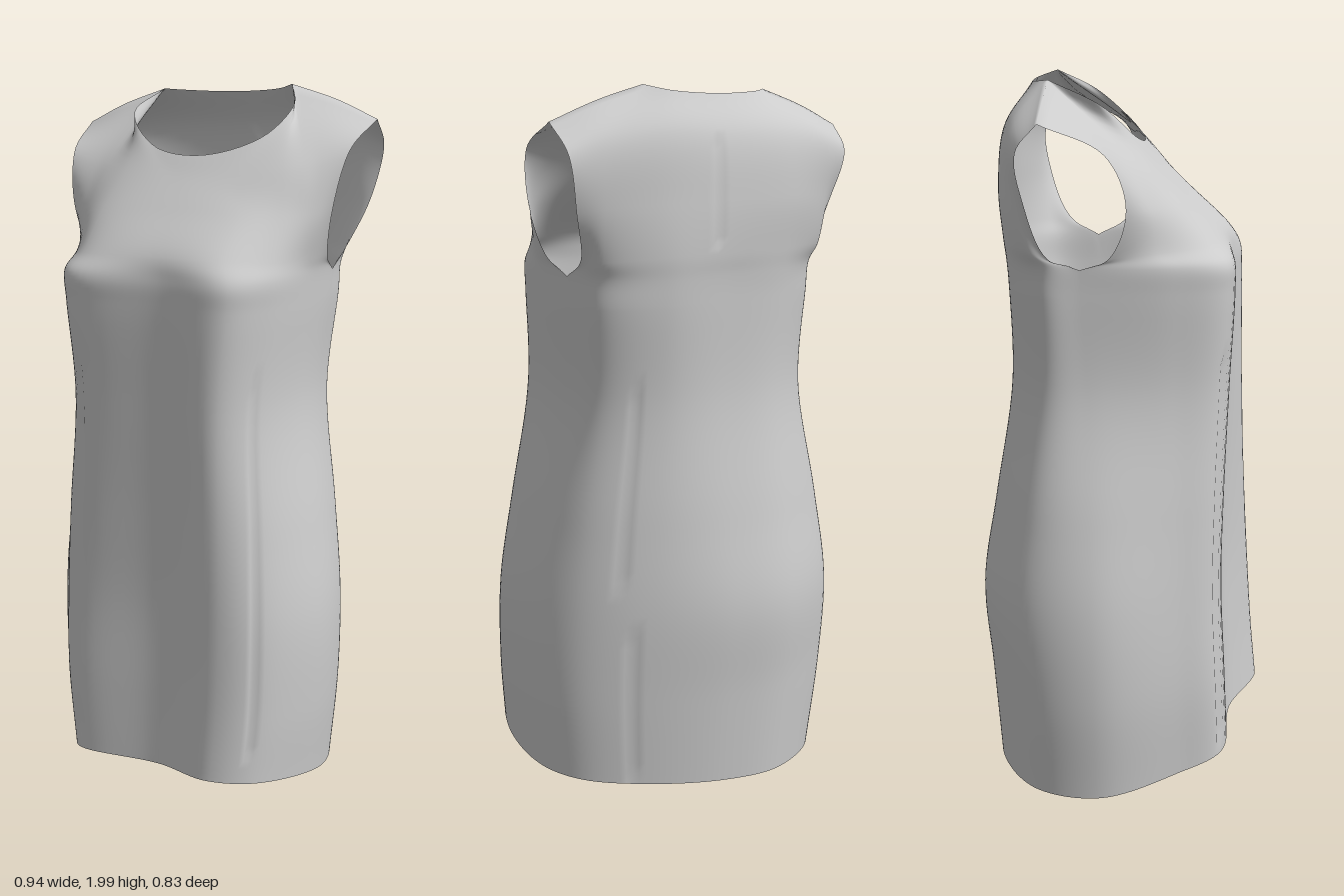
import * as THREE from 'three';
import { mergeVertices, mergeGeometries } from 'three/addons/utils/BufferGeometryUtils.js';

const COLS = 70, STEPS = 8, SEAM = 7 / 13;
const vec = (x, y, z) => new THREE.Vector3(x, y, z);
const curve = (pts, closed = false) => new THREE.CatmullRomCurve3(pts, closed, 'centripetal');

// Unit cross-sections [x, z]: left side seam, across the front, right side seam, around the back
const skirtSection = [[1, .06], [.97, .51], [.73, .92], [.45, 1], [0, .77], [-.63, .66], [-.8, .36],
  [-1, -.2], [-.88, -.7], [-.38, -1], [.04, -.95], [.5, -.71], [.88, -.34]];
const bustSection = [[1, -.26], [.97, .18], [.81, .72], [.55, 1], [0, .91], [-.75, .8], [-.95, .35],
  [-1, -.38], [-.98, -.7], [-.54, -.98], [0, -1], [.54, -.94], [.94, -.66]];

// Body levels: height, extent to left, right, front, back, blend from skirt to bust section
const levels = [
  [0, .42, .43, .41, .37, 0],
  [.3, .44, .465, .393, .39, 0],
  [.56, .44, .465, .375, .41, 0],
  [.82, .405, .425, .36, .372, .25],
  [1.15, .352, .36, .345, .322, .7],
  [1.42, .365, .367, .338, .326, 1],
  [1.5, .368, .372, .333, .332, 1],
];
const rings = levels.map(([y, left, right, front, back, blend]) =>
  curve(skirtSection.map(([sx, sz], i) => {
    const ux = THREE.MathUtils.lerp(sx, bustSection[i][0], blend);
    const uz = THREE.MathUtils.lerp(sz, bustSection[i][1], blend);
    const x = ux * (ux > 0 ? left : right), z = uz * (uz > 0 ? front : back);
    // the hem rises toward the front and the left
    return vec(x, y || .028 + .045 * x + .2 * Math.max(0, z), z);
  }), true));

// Shoulder seams from tip to neck, and the neckline between them
const leftShoulder = [vec(.465, 1.91, -.16), vec(.335, 1.962, -.185), vec(.2, 2, -.2)];
const rightShoulder = [vec(-.45, 1.88, -.23), vec(-.335, 1.935, -.22), vec(-.2, 1.982, -.212)];
const frontNeck = [vec(.244, 1.945, -.09), vec(.19, 1.865, .008), vec(.04, 1.815, .052),
  vec(-.12, 1.828, .025), vec(-.235, 1.92, -.075)];
const backNeck = [vec(-.15, 1.978, -.242), vec(0, 1.975, -.262), vec(.14, 1.985, -.245)];

// Yoke rows from side to side; their ends trace the armholes
const frontRows = [
  [[.38, 1.55, 0], [.355, 1.55, .09], [.29, 1.55, .22], [.18, 1.56, .297],
    [-.02, 1.56, .28], [-.26, 1.55, .22], [-.345, 1.54, .08], [-.378, 1.53, -.05]],
  [[.405, 1.68, .04], [.37, 1.67, .085], [.29, 1.67, .145], [.18, 1.67, .185],
    [-.02, 1.67, .175], [-.24, 1.66, .135], [-.34, 1.65, .06], [-.4, 1.66, -.005]],
  [[.435, 1.83, 0], [.36, 1.81, .03], [.27, 1.79, .07], [.13, 1.76, .1],
    [-.03, 1.755, .095], [-.2, 1.77, .055], [-.32, 1.785, -.02], [-.425, 1.8, -.06]],
];
const backRows = [
  [[-.378, 1.53, -.21], [-.37, 1.55, -.265], [-.2, 1.56, -.335], [0, 1.56, -.34],
    [.2, 1.56, -.318], [.355, 1.55, -.235], [.38, 1.55, -.17]],
  [[-.41, 1.68, -.27], [-.355, 1.69, -.305], [-.2, 1.7, -.348], [0, 1.7, -.345],
    [.2, 1.7, -.318], [.365, 1.69, -.262], [.43, 1.68, -.23]],
  [[-.445, 1.81, -.285], [-.335, 1.85, -.31], [-.17, 1.87, -.328], [0, 1.87, -.325],
    [.18, 1.88, -.305], [.345, 1.86, -.262], [.462, 1.83, -.245]],
];

// Top edge: one shoulder up to the neck, along the neckline, down the other shoulder
function topEdge(start, neck, end) {
  const up = curve(start), down = curve(end), across = curve([start[2], ...neck, end[2]]);
  return u => u < .2 ? up.getPoint(u / .2)
    : u > .8 ? down.getPoint((1 - u) / .2)
    : across.getPoint((u - .2) / .6);
}

// Panels run between the side seams t0 and t1; folds are [column, lowest y, highest y]
const panels = [
  { t0: 0, t1: SEAM, rows: frontRows, top: topEdge(leftShoulder, frontNeck, rightShoulder),
    folds: [[21, .2, 1.25], [50, .1, 1.25]] },
  { t0: SEAM, t1: 1, rows: backRows, top: topEdge(rightShoulder, backNeck, leftShoulder),
    folds: [[38, 1.58, 1.86], [50, .06, .5], [52, .65, 1.2]] },
];

// One panel of cloth from hem to shoulder
function panelGeometry({ t0, t1, rows, top, folds }) {
  const rowCurves = rows.map(r => curve(r.map(p => vec(...p))));
  const w = COLS + 1, bodySteps = (rings.length - 1) * STEPS, yokeSteps = (rows.length + 1) * STEPS;
  const total = bodySteps + yokeSteps;
  const columns = Array.from({ length: w }, (_, i) => {
    const u = i / COLS;
    const body = rings.map(r => r.getPoint(t0 + (t1 - t0) * u));
    const yoke = [...rowCurves.map(c => c.getPoint(u)), top(u)];
    if (i > 0 && i < COLS) {
      const whole = curve([...body, ...yoke]);
      return j => whole.getPoint(j / total);
    }
    // the side seam ends at the underarm, where the armhole edge begins
    const seam = curve(body), armhole = curve([body.at(-1), ...yoke]);
    return j => j <= bodySteps ? seam.getPoint(j / bodySteps) : armhole.getPoint((j - bodySteps) / yokeSteps);
  });
  const pos = [], index = [];
  for (let j = 0; j <= total; j++) {
    columns.forEach((column, i) => {
      const p = column(j);
      // narrow pressed folds sink slightly inward
      const k = folds.some(([c, y0, y1]) => c === i && p.y > y0 && p.y < y1) ? .98 : 1;
      pos.push(p.x * k, p.y, p.z * k);
      if (j < total && i < COLS) {
        const a = j * w + i;
        index.push(a, a + w, a + 1, a + 1, a + w, a + w + 1);
      }
    });
  }
  const g = new THREE.BufferGeometry();
  g.setAttribute('position', new THREE.Float32BufferAttribute(pos, 3));
  g.setIndex(index);
  return g;
}

export function createModel() {
  // Front and back are welded so the side and shoulder seams shade smoothly
  const geometry = mergeVertices(mergeGeometries(panels.map(panelGeometry)), 1e-4);
  geometry.computeVertexNormals();
  const dress = new THREE.Mesh(geometry,
    new THREE.MeshStandardMaterial({ color: 0xcccccc, side: THREE.DoubleSide }));
  dress.name = 'sleevelessDress';
  const group = new THREE.Group();
  group.name = 'dress';
  group.add(dress);
  return group;
}
